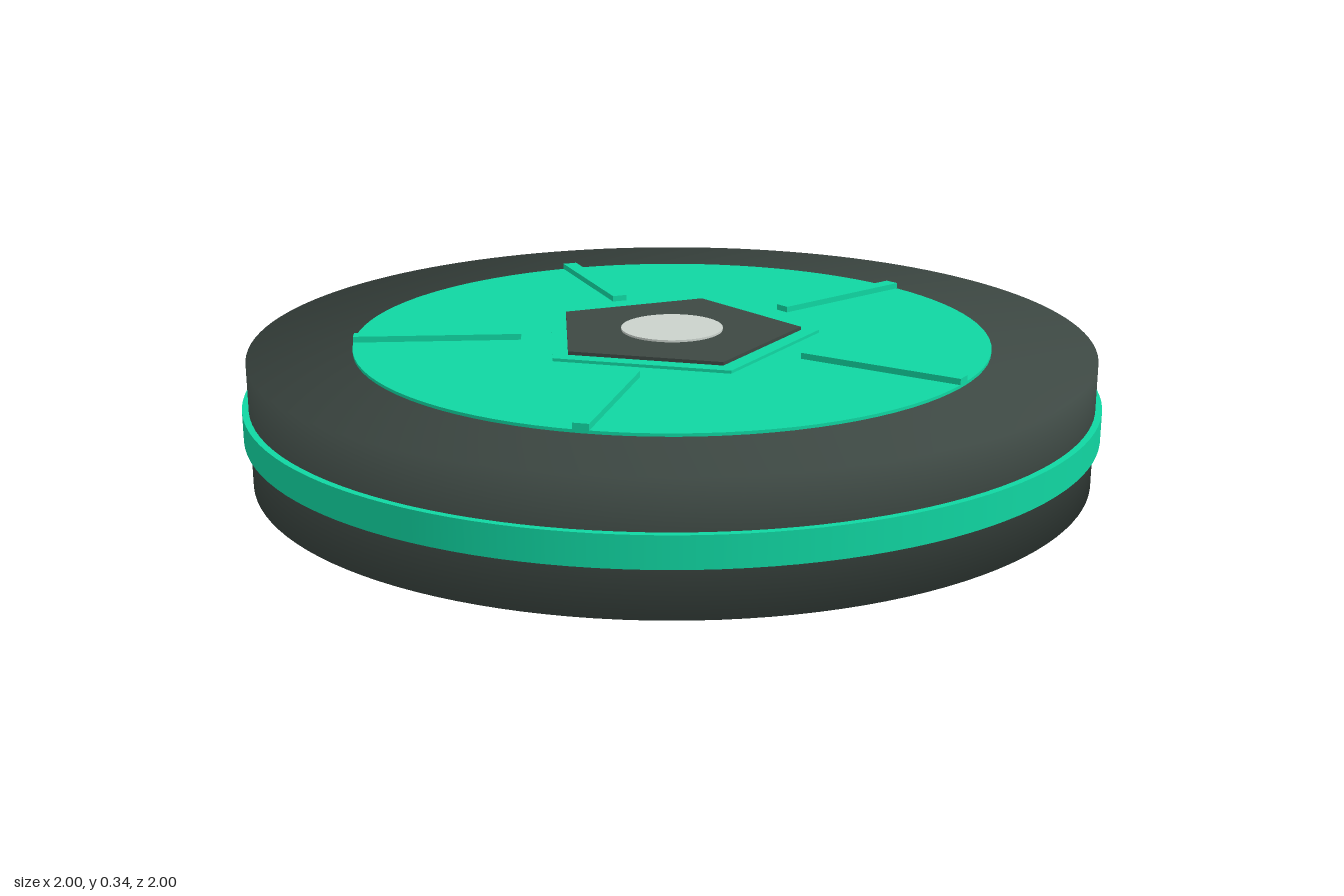
import * as THREE from 'three';

export function createModel() {
  const model = new THREE.Group();
  model.name = 'spokedDisc';

  const paint = (name, color) => {
    const m = new THREE.MeshStandardMaterial({ color });
    m.name = name;
    return m;
  };
  const green = paint('emerald', 0x10d6a2);
  const dark = paint('charcoal', 0x3d4843);
  const grey = paint('paleGrey', 0xcad2cc);

  const MID = 0.172; // height of the disc's middle plane
  const add = (name, geometry, material) => {
    const mesh = new THREE.Mesh(geometry, material);
    mesh.name = name;
    mesh.position.y = MID;
    model.add(mesh);
    return mesh;
  };

  // Solid body; normals run softly round the rim from the sides to the flat faces
  const R = 0.985;
  const body = new THREE.CylinderGeometry(R, R, 0.29, 128);
  const p = body.attributes.position;
  for (let i = 0; i < p.count; i++) {
    body.attributes.normal.setXYZ(
      i,
      (p.getX(i) / R) * Math.SQRT1_2,
      Math.sign(p.getY(i)) * Math.SQRT1_2,
      (p.getZ(i) / R) * Math.SQRT1_2
    );
  }
  add('body', body, dark);

  // Band round the rim
  add('rimBand', new THREE.CylinderGeometry(1, 1, 0.07, 128), green);

  // Thin stacked plates on both faces: [name, radius, sides, distance from middle, material]
  const plates = [
    ['faceDisc', 0.745, 96, 0.152, green],
    ['pentagonBorder', 0.35, 5, 0.159, green],
    ['pentagonPlate', 0.306, 5, 0.167, dark],
    ['hubCap', 0.12, 48, 0.172, grey],
  ];
  const thick = 0.009;
  for (const [face, side] of [['top', 1], ['bottom', -1]]) {
    for (const [name, radius, sides, reach, material] of plates) {
      // Start at half a turn so that the pentagons point to the back
      let geometry = new THREE.CylinderGeometry(radius, radius, thick, sides, 1, false, Math.PI);
      if (sides === 5) {
        geometry = geometry.toNonIndexed(); // crisp corners
        geometry.computeVertexNormals();
      }
      const plate = add(`${face}_${name}`, geometry, material);
      plate.position.y = MID + side * (reach - thick / 2);
    }
  }

  // Five raised ribs on the top face, one facing each pentagon side
  const rib = new THREE.BoxGeometry(0.036, 0.016, 0.39).translate(0, 0, 0.55);
  for (let i = 0; i < 5; i++) {
    const mesh = add(`rib${i + 1}`, rib, green);
    mesh.position.y = MID + 0.158;
    mesh.rotation.y = (i * Math.PI * 2) / 5;
  }

  return model;
}
